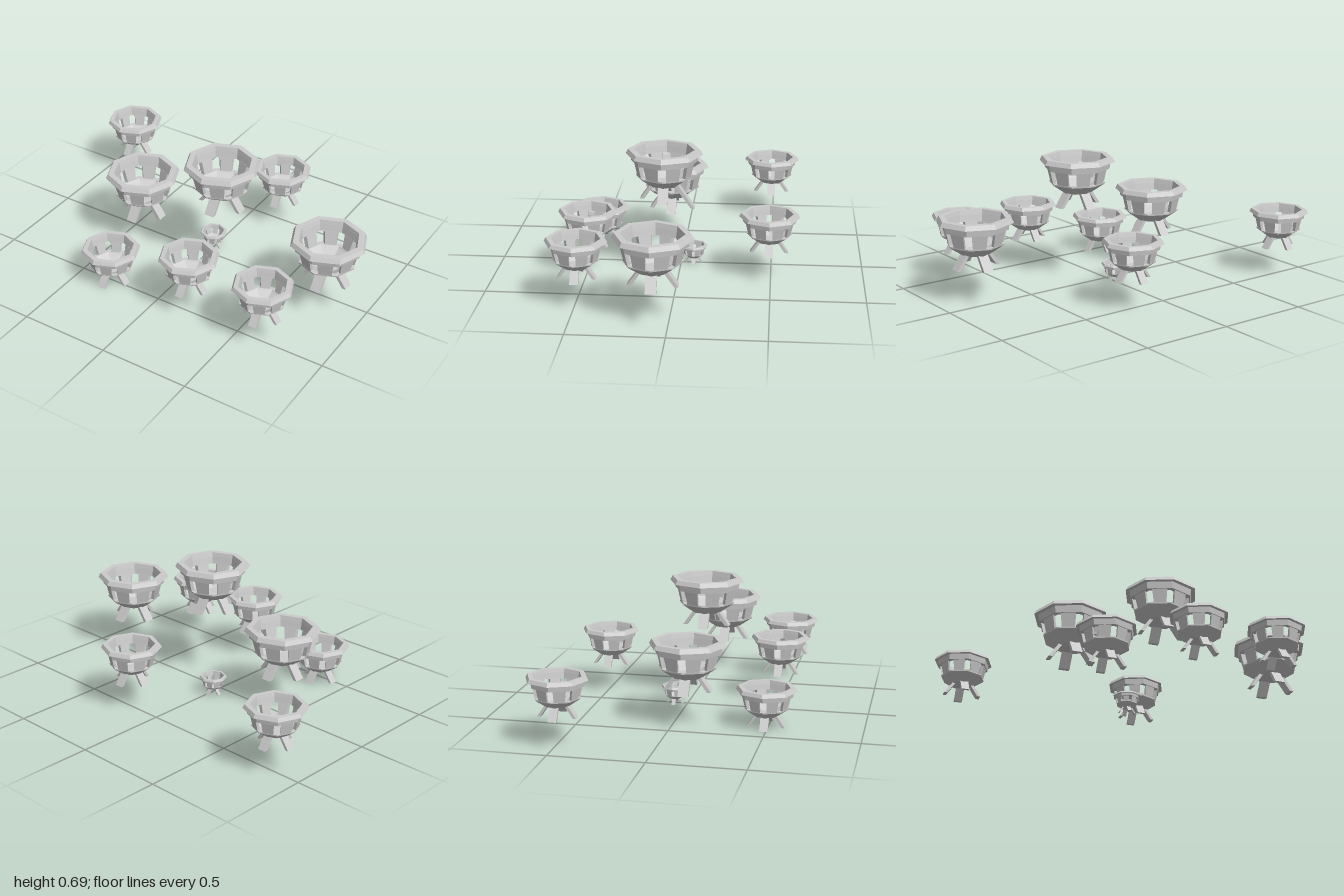
import * as THREE from 'three';
import { ConvexGeometry } from 'three/addons/geometries/ConvexGeometry.js';

const SIDES = 8;
const material = new THREE.MeshStandardMaterial({ color: 0xcccccc, flatShading: true });

function ring(name, profile) {
  const pts = profile.map(([r, y]) => new THREE.Vector2(r, y));
  const mesh = new THREE.Mesh(new THREE.LatheGeometry(pts, SIDES), material);
  mesh.name = name;
  return mesh;
}

// Wall panel between two corners of the octagon, stopping short of each to leave a window
function panelGeometry() {
  const gap = 0.022 / Math.cos(Math.PI / SIDES);
  const points = [];
  for (const [r, y] of [[0.172, 0.212], [0.15, 0.212], [0.153, 0.132], [0.131, 0.132]]) {
    const apothem = r * Math.cos(Math.PI / SIDES);
    const half = r * Math.sin(Math.PI / SIDES) - gap;
    points.push(new THREE.Vector3(-half, y, apothem), new THREE.Vector3(half, y, apothem));
  }
  return new ConvexGeometry(points);
}

// Splayed flat leg, cut level at the foot
function legGeometry() {
  const points = [];
  for (const [z, y] of [[0.129, 0], [0.107, 0], [0.067, 0.09], [0.045, 0.09]]) {
    points.push(new THREE.Vector3(-0.028, y, z), new THREE.Vector3(0.028, y, z));
  }
  return new ConvexGeometry(points);
}

const panel = panelGeometry();
const leg = legGeometry();

function bowl() {
  const group = new THREE.Group();

  // Closed lower basin with a flat floor
  group.add(ring('basin', [
    [0, 0.075], [0.079, 0.075], [0.153, 0.126], [0.154, 0.134],
    [0.13, 0.134], [0.122, 0.126], [0.062, 0.092], [0, 0.092],
  ]));

  // Band above the windows
  group.add(ring('upperBand', [
    [0.15, 0.208], [0.178, 0.208], [0.184, 0.248], [0.158, 0.248], [0.15, 0.208],
  ]));

  // Overhanging lip
  group.add(ring('rim', [
    [0.156, 0.246], [0.207, 0.246], [0.194, 0.27], [0.162, 0.27], [0.156, 0.246],
  ]));

  for (let i = 0; i < SIDES; i++) {
    const wall = new THREE.Mesh(panel, material);
    wall.name = 'wallPanel';
    wall.rotation.y = (i + 0.5) * Math.PI * 2 / SIDES;
    group.add(wall);
  }

  for (let i = 0; i < 4; i++) {
    const foot = new THREE.Mesh(leg, material);
    foot.name = 'leg';
    foot.rotation.y = i * Math.PI / 2;
    group.add(foot);
  }
  return group;
}

export function createModel() {
  const model = new THREE.Group();
  const sizes = { large: [1, 1], medium: [0.787, 0.797], tiny: [0.37, 0.385] };
  // size, x, y, z of each bowl
  const layout = [
    ['large', -0.38, 0.19, 0.08],
    ['large', 0.137, 0.424, 0.08],
    ['large', 0.788, 0.19, 0.08],
    ['medium', -0.838, 0.152, -0.488],
    ['medium', 0.193, 0.152, -0.488],
    ['medium', -0.315, 0, 0.488],
    ['medium', 0.193, 0.152, 0.488],
    ['medium', 0.637, 0.152, 0.488],
    ['tiny', -0.009, 0, -0.07],
  ];
  for (const [size, x, y, z] of layout) {
    const b = bowl();
    const [w, h] = sizes[size];
    b.name = size + 'Bowl';
    b.scale.set(w, h, w);
    b.position.set(x, y, z);
    model.add(b);
  }
  return model;
}
